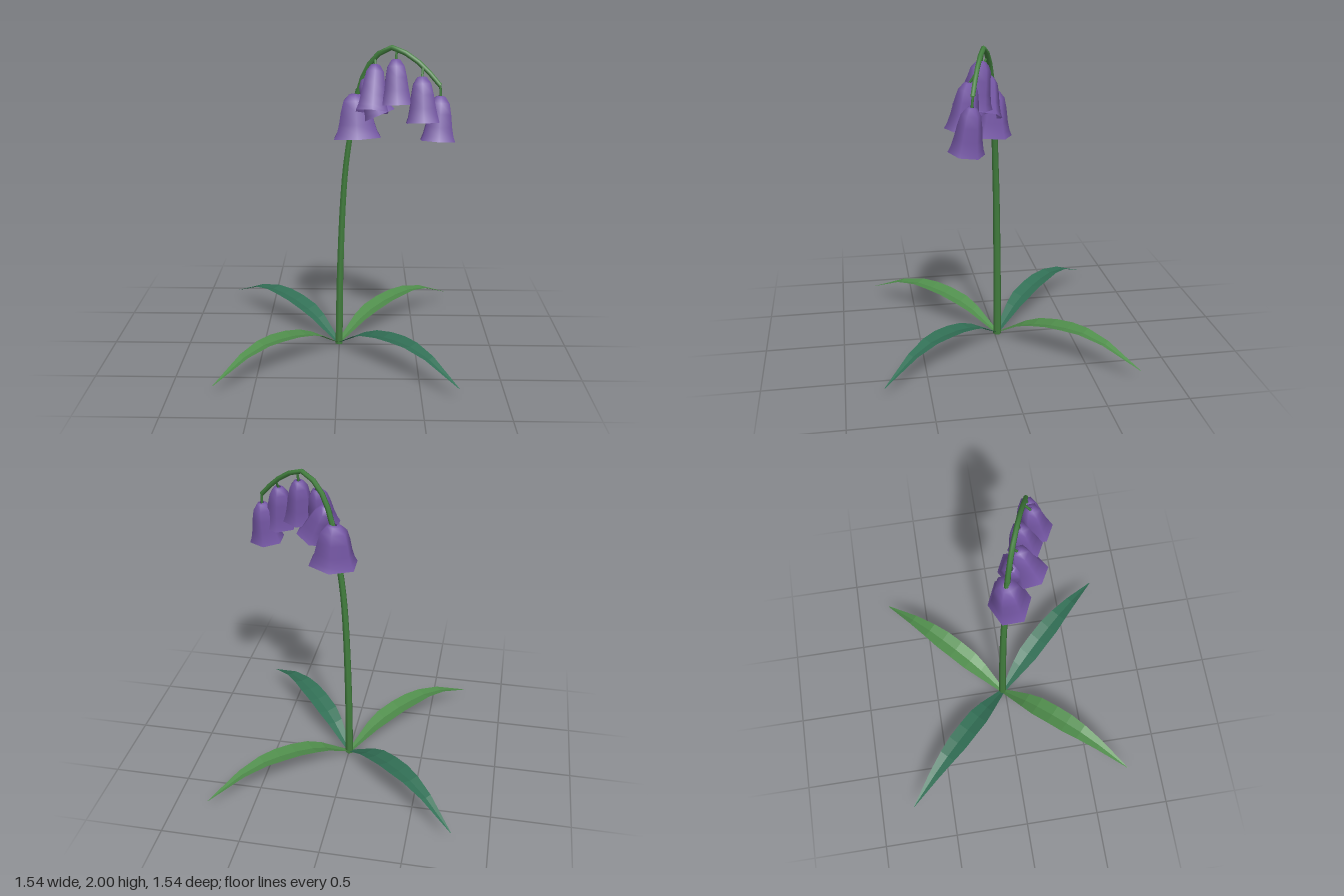
import * as THREE from 'three';

const material = (name, color, flatShading) => {
  const m = new THREE.MeshStandardMaterial({ color, side: THREE.DoubleSide, flatShading });
  m.name = name;
  return m;
};
const V = (p) => new THREE.Vector3(...p);

// Tube along a curve whose radius follows the rule radiusAt(t)
function taperedTube(curve, segments, sides, radiusAt) {
  const geo = new THREE.TubeGeometry(curve, segments, 1, sides, false);
  const pos = geo.attributes.position;
  const v = new THREE.Vector3();
  for (let i = 0; i <= segments; i++) {
    const c = curve.getPointAt(i / segments);
    for (let j = 0; j <= sides; j++) {
      const k = i * (sides + 1) + j;
      v.fromBufferAttribute(pos, k).sub(c).multiplyScalar(radiusAt(i / segments)).add(c);
      pos.setXYZ(k, v.x, v.y, v.z);
    }
  }
  return geo;
}

// Arched leaf along +x: stations of [distance, height, half width], with a shallow fold
function leafGeometry(length) {
  const stations = [
    [0, 0.004, 0.015], [0.2, 0.125, 0.055], [0.3, 0.165, 0.07], [0.43, 0.195, 0.071],
    [0.55, 0.208, 0.07], [0.67, 0.21, 0.058], [0.83, 0.18, 0.038], [1.08, 0.076, 0.002],
  ];
  const pos = [], index = [];
  stations.forEach(([d, y, w], i) => {
    const x = d * length / 1.08;
    const fold = w * 0.2;
    pos.push(x, y + fold * 0.4, -w, x, y - fold * 0.6, 0, x, y + fold * 0.4, w);
    if (i === 0) return;
    const a = (i - 1) * 3, b = i * 3;
    for (const k of [0, 1]) {
      index.push(a + k, a + k + 1, b + k, a + k + 1, b + k + 1, b + k);
    }
  });
  const geo = new THREE.BufferGeometry();
  geo.setAttribute('position', new THREE.Float32BufferAttribute(pos, 3));
  geo.setIndex(index);
  geo.computeVertexNormals();
  return geo;
}

// Six-sided open bell of unit height hanging down from the origin
function bellGeometry() {
  const profile = [
    [0.107, -1], [0.094, -0.88], [0.082, -0.68], [0.071, -0.4], [0.057, -0.16], [0.03, -0.02], [0.014, 0],
  ].map(([r, y]) => new THREE.Vector2(r, y));
  return new THREE.LatheGeometry(profile, 6);
}

export function createModel() {
  const root = new THREE.Group();
  root.name = 'bellFlower';
  const stemGreen = material('stem green', 0x427f3e, false);
  const leafGreen = material('leaf green', 0x508e4c, true);
  const tealGreen = material('teal green', 0x327056, true);
  const purple = material('bell purple', 0x7456a4, false);

  const add = (parent, name, geo, mat) => {
    const mesh = new THREE.Mesh(geo, mat);
    mesh.name = name;
    parent.add(mesh);
    return mesh;
  };

  // Upright stem that arches over at the top
  const stemCurve = new THREE.CatmullRomCurve3([
    [-0.002, 0, -0.019], [0.005, 0.5, -0.016], [0.024, 1.0, -0.007], [0.044, 1.25, 0.003],
    [0.08, 1.5, 0.015], [0.122, 1.72, 0.035], [0.18, 1.87, 0.06], [0.3, 1.98, 0.11],
    [0.42, 1.94, 0.155], [0.53, 1.85, 0.195], [0.602, 1.77, 0.22],
  ].map(V));
  add(root, 'stem', taperedTube(stemCurve, 26, 6, (t) => 0.027 - 0.013 * t), stemGreen);

  // Four leaves around the base, each aimed at its tip
  const tips = [
    ['backLeftLeaf', 0.77, -0.77, leafGreen], ['backRightLeaf', -0.77, -0.77, tealGreen],
    ['frontRightLeaf', -0.73, 0.765, leafGreen], ['frontLeftLeaf', 0.72, 0.77, tealGreen],
  ];
  for (const [name, x, z, mat] of tips) {
    const dx = x + 0.005, dz = z + 0.017;
    const leaf = add(root, name, leafGeometry(Math.hypot(dx, dz)), mat);
    leaf.position.set(-0.005, 0, -0.017);
    leaf.rotation.y = Math.atan2(-dz, dx);
  }

  // Hanging bells: [stalk start, bell top, rim centre, radius scale across, radius scale in depth]
  const bells = [
    [[0.11, 1.72, 0.03], [0.1, 1.69, 0.022], [0.113, 1.418, 0.045], 1.54, 1.25],
    [[0.15, 1.82, 0.045], [0.155, 1.79, 0.06], [0.25, 1.57, 0.1], 1.05, 1.0],
    [[0.215, 1.92, 0.075], [0.22, 1.88, 0.1], [0.2, 1.605, 0.18], 1.05, 1.05],
    [[0.345, 1.97, 0.125], [0.34, 1.915, 0.132], [0.348, 1.645, 0.175], 1.03, 1.0],
    [[0.5, 1.88, 0.185], [0.492, 1.825, 0.225], [0.502, 1.555, 0.265], 1.06, 1.0],
    [[0.602, 1.77, 0.22], [0.606, 1.71, 0.226], [0.592, 1.445, 0.258], 1.08, 1.0],
  ];
  const bellGeo = bellGeometry();
  bells.forEach(([start, top, rim, across, depth], i) => {
    const group = new THREE.Group();
    group.name = 'flower' + (i + 1);
    root.add(group);
    const axis = V(rim).sub(V(top));
    const bell = add(group, 'bell', bellGeo, purple);
    bell.position.copy(V(top));
    bell.scale.set(across, axis.length(), depth);
    bell.quaternion.setFromUnitVectors(new THREE.Vector3(0, -1, 0), axis.normalize());
    const stalk = new THREE.LineCurve3(V(start), V(top).addScaledVector(axis, 0.01));
    add(group, 'stalk', new THREE.TubeGeometry(stalk, 1, 0.008, 5), stemGreen);
  });
  return root;
}
